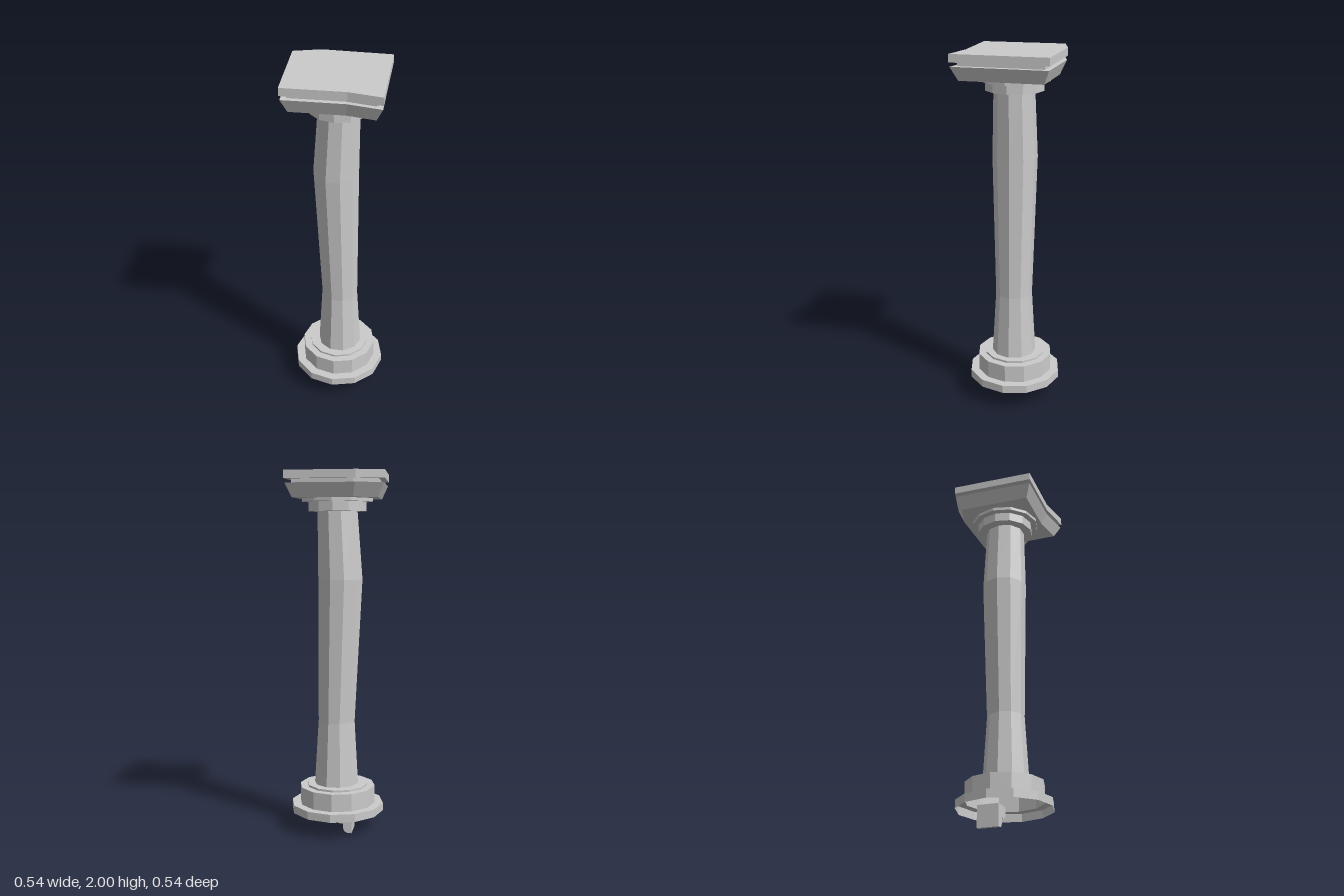
import * as THREE from 'three';

const material = new THREE.MeshStandardMaterial({
  color: 0xcccccc, flatShading: true, side: THREE.DoubleSide,
});
const AXIS = { x: 0.008, z: -0.008 };

function part(name, geometry) {
  const mesh = new THREE.Mesh(geometry, material);
  mesh.name = name;
  return mesh;
}

// Twelve-sided turned moulding from [radius, height] pairs
function ring(name, profile) {
  const mesh = part(name, new THREE.LatheGeometry(profile.map(([r, y]) => new THREE.Vector2(r, y)), 12));
  mesh.position.set(AXIS.x, 0, AXIS.z);
  return mesh;
}

// Chipped square outline (x, z) shared by the capital slabs
const OUTLINE = [[-0.273, -0.217], [-0.125, -0.262], [0.256, -0.254], [0.26, 0],
  [0.265, 0.27], [0.085, 0.236], [-0.25, 0.242]];

// Slab between two heights, with the outline scaled at the bottom and top
function slab(name, y0, y1, s0, s1) {
  const shape = new THREE.Shape(OUTLINE.map(([x, z]) => new THREE.Vector2(x, z)));
  const geo = new THREE.ExtrudeGeometry(shape, { depth: y1 - y0, bevelEnabled: false });
  geo.rotateX(Math.PI / 2).translate(0, y1, 0);
  const p = geo.attributes.position;
  for (let i = 0; i < p.count; i++) {
    const s = THREE.MathUtils.mapLinear(p.getY(i), y0, y1, s0, s1);
    p.setX(i, p.getX(i) * s);
    p.setZ(i, p.getZ(i) * s);
  }
  return part(name, geo);
}

// Ten-sided shaft, bent by giving each level its own centre and radius
function shaft() {
  const levels = [ // height, centre x, radius, from the top down
    [1.8, 0.008, 0.111], [1.42, -0.008, 0.124], [0.62, 0.013, 0.103], [0.25, 0.014, 0.125],
  ];
  const geo = new THREE.CylinderGeometry(1, 1, 3, 10, 3, true, Math.PI / 2);
  const p = geo.attributes.position;
  for (let i = 0; i < p.count; i++) {
    const [y, cx, r] = levels[Math.round(1.5 - p.getY(i))];
    p.setXYZ(i, cx + p.getX(i) * r, y, -0.005 + p.getZ(i) * r);
  }
  return part('shaft', geo);
}

// Small block under the base with a rounded lower corner
function peg(name, x0, x1, y0, y1) {
  const r = 0.035;
  const s = new THREE.Shape();
  s.moveTo(x0, y0);
  s.lineTo(x1 - r, y0);
  s.quadraticCurveTo(x1, y0, x1, y0 + r);
  s.lineTo(x1, y1);
  s.lineTo(x0, y1);
  const geo = new THREE.ExtrudeGeometry(s, { depth: 0.12, bevelEnabled: false, curveSegments: 5 });
  return part(name, geo.translate(0, 0, -0.125));
}

export function createModel() {
  const column = new THREE.Group();
  column.name = 'column';
  column.add(
    // Stepped base, hollow underneath
    ring('base', [[0.262, 0.105], [0.262, 0.15], [0.214, 0.15], [0.214, 0.249],
      [0.172, 0.249], [0.172, 0.26], [0.11, 0.26]]),
    shaft(),
    // Stepped neck and slabs of the capital
    ring('neck', [[0.09, 1.79], [0.162, 1.79], [0.162, 1.842], [0.196, 1.842], [0.196, 1.86], [0, 1.86]]),
    slab('capitalTaper', 1.86, 1.935, 0.86, 0.985),
    slab('capitalGap', 1.935, 1.957, 0.87, 0.87),
    slab('capitalTop', 1.957, 2, 1, 1),
    // Broken pegs below the base
    peg('upperPeg', -0.09, 0.008, 0.055, 0.12),
    peg('lowerPeg', -0.09, -0.042, 0, 0.055),
  );
  return column;
}
